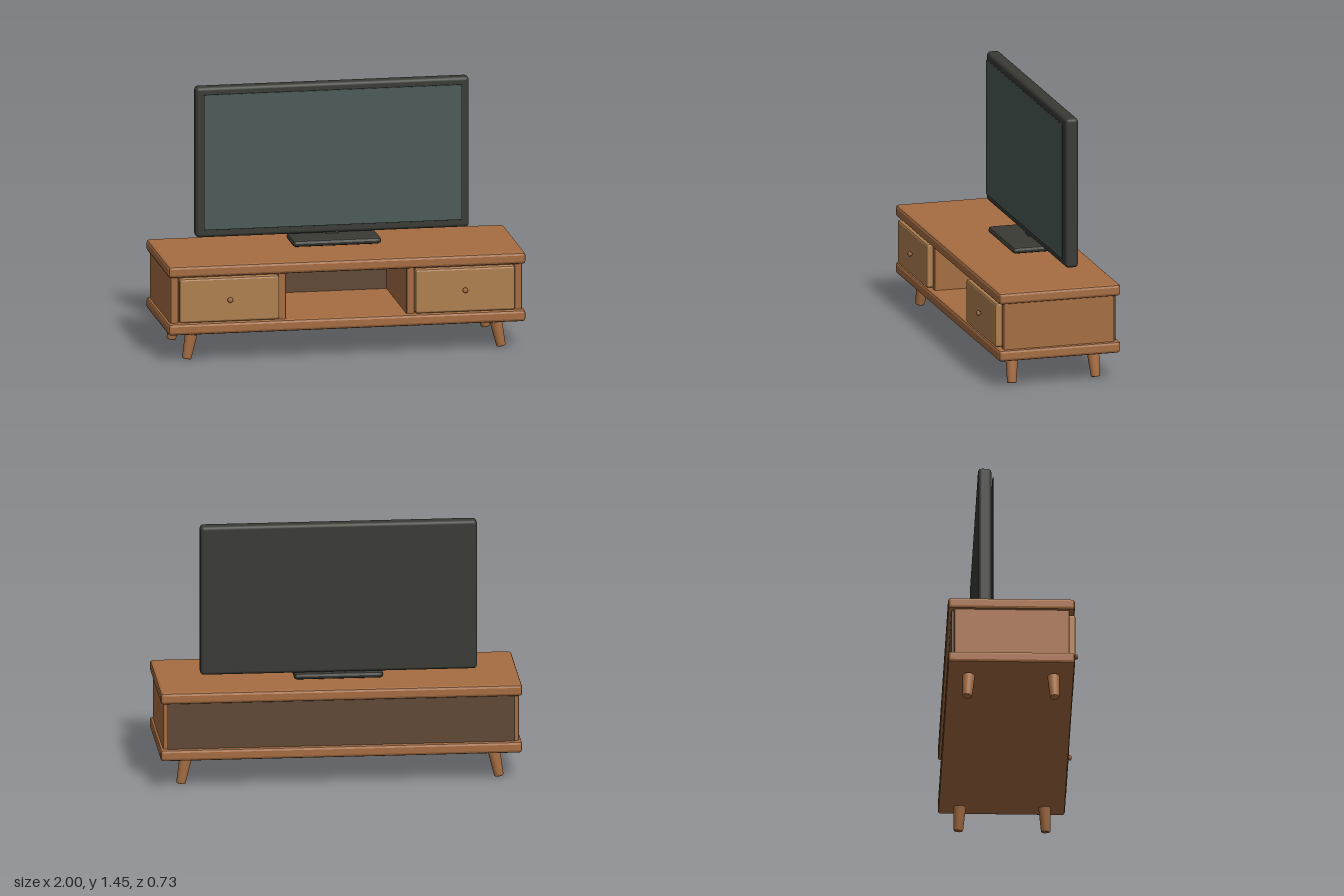
import * as THREE from 'three';
import { RoundedBoxGeometry } from 'three/addons/geometries/RoundedBoxGeometry.js';

const mat = (color) => new THREE.MeshStandardMaterial({ color });
const wood = mat(0xa66d42);
const drawerWood = mat(0xb08050);
const darkWood = mat(0x5f4836);
const black = mat(0x3a3a35);
const glass = mat(0x4c5b58);

// Box given by its extents, with edges eased by radius r (flat facets unless smooth)
function block(parent, name, material, [x0, x1], [y0, y1], [z0, z1], r = 0, segments = 1) {
  const size = [x1 - x0, y1 - y0, z1 - z0];
  const geo = r ? new RoundedBoxGeometry(...size, segments, r) : new THREE.BoxGeometry(...size);
  if (r && segments === 1) geo.computeVertexNormals();
  const mesh = new THREE.Mesh(geo, material);
  mesh.name = name;
  mesh.position.set((x0 + x1) / 2, (y0 + y1) / 2, (z0 + z1) / 2);
  parent.add(mesh);
  return mesh;
}

// Tapered leg running from a foot point up to a top point
function leg(name, foot, top) {
  const axis = top.clone().sub(foot);
  const h = axis.length();
  const profile = [[0, 0], [0.023, 0], [0.026, 0.004], [0.034, h - 0.004], [0.031, h], [0, h]]
    .map(([x, y]) => new THREE.Vector2(x, y));
  const mesh = new THREE.Mesh(new THREE.LatheGeometry(profile, 20), wood);
  mesh.name = name;
  mesh.position.copy(foot);
  mesh.quaternion.setFromUnitVectors(new THREE.Vector3(0, 1, 0), axis.normalize());
  return mesh;
}

function createCabinet() {
  const cabinet = new THREE.Group();
  cabinet.name = 'cabinet';

  // Boards and carcass
  block(cabinet, 'topBoard', wood, [-1, 1], [0.485, 0.55], [-0.36, 0.34], 0.016);
  block(cabinet, 'bottomBoard', wood, [-1, 1], [0.16, 0.225], [-0.36, 0.34], 0.016);
  block(cabinet, 'backPanel', darkWood, [-0.96, 0.96], [0.222, 0.488], [-0.34, -0.31]);

  for (const s of [-1, 1]) {
    const side = s < 0 ? 'right' : 'left';
    const span = (a, b) => (s > 0 ? [a, b] : [-b, -a]);
    block(cabinet, side + 'SidePanel', wood, span(0.938, 0.985), [0.215, 0.495], [-0.327, 0.31], 0.01);
    block(cabinet, side + 'Divider', wood, span(0.337, 0.383), [0.215, 0.495], [-0.32, 0.31], 0.01);

    // Drawer front and its knob
    const drawer = new THREE.Group();
    drawer.name = side + 'Drawer';
    block(drawer, 'drawerFront', drawerWood, span(0.38, 0.94), [0.23, 0.48], [0.295, 0.345], 0.012);
    const knobProfile = [[0, 0], [0.007, 0], [0.007, 0.006], [0.015, 0.011], [0.015, 0.018], [0.009, 0.023], [0, 0.023]]
      .map(([x, y]) => new THREE.Vector2(x, y));
    const knob = new THREE.Mesh(new THREE.LatheGeometry(knobProfile, 16), wood);
    knob.name = 'knob';
    knob.rotation.x = Math.PI / 2;
    knob.position.set(s * 0.658, 0.355, 0.344);
    drawer.add(knob);
    cabinet.add(drawer);

    // Splayed legs
    for (const [end, zTop, zFoot] of [['Front', 0.225, 0.232], ['Back', -0.242, -0.25]]) {
      cabinet.add(leg(side + end + 'Leg',
        new THREE.Vector3(s * 0.88, 0.005, zFoot),
        new THREE.Vector3(s * 0.853, 0.143, zTop)));
    }
  }
  return cabinet;
}

function createTelevision() {
  const tv = new THREE.Group();
  tv.name = 'television';
  block(tv, 'housing', black, [-0.765, 0.765], [0.6, 1.45], [-0.188, -0.114], 0.02, 3);
  block(tv, 'screen', glass, [-0.723, 0.723], [0.646, 1.411], [-0.108, -0.099], 0.003);
  block(tv, 'neck', black, [-0.035, 0.035], [0.585, 0.615], [-0.18, -0.12]);
  block(tv, 'standBase', black, [-0.248, 0.248], [0.559, 0.596], [-0.184, 0.033], 0.017);
  return tv;
}

export function createModel() {
  const model = new THREE.Group();
  model.name = 'televisionUnit';
  model.add(createCabinet(), createTelevision());
  return model;
}
